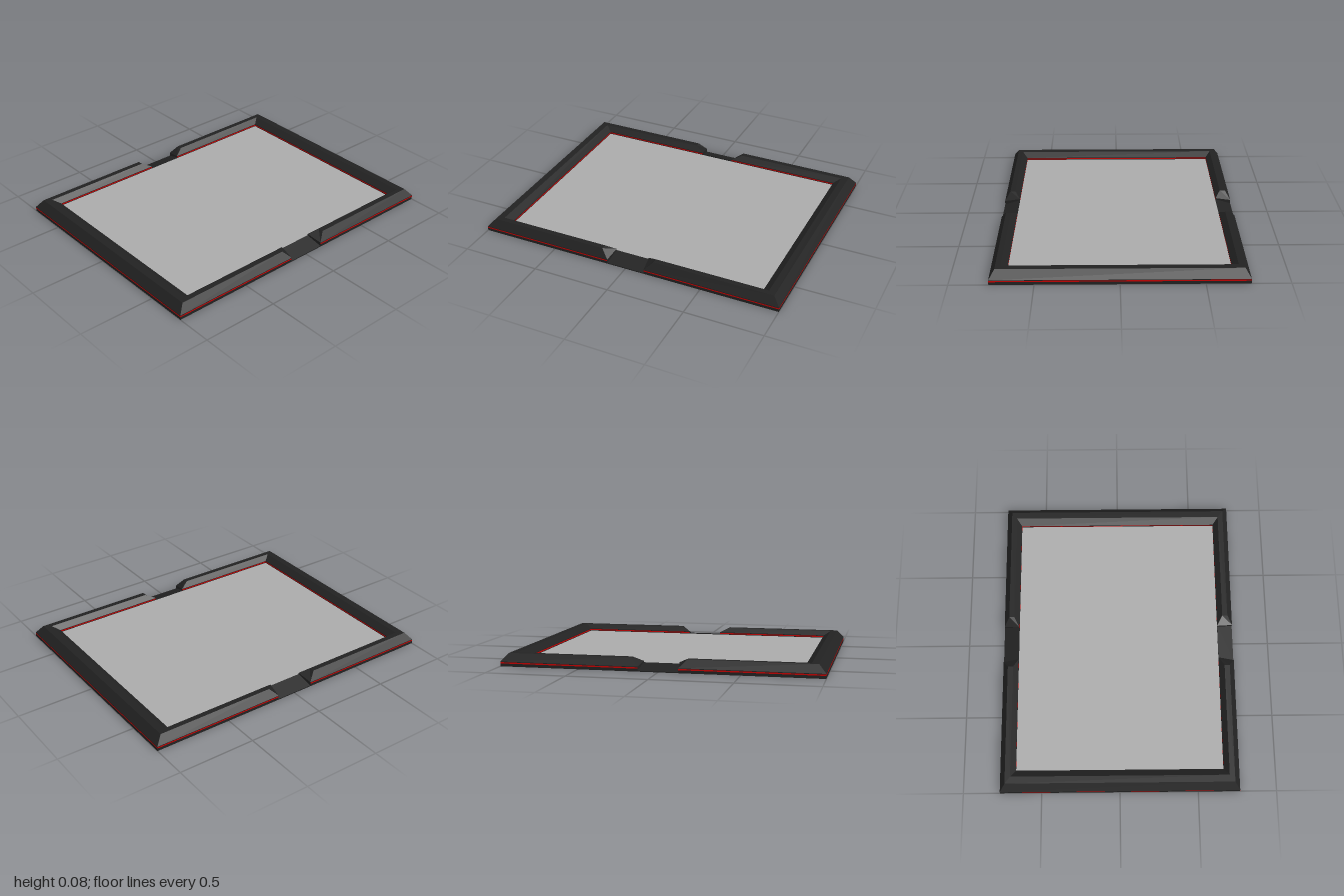
import * as THREE from 'three';

const mat = (color) => new THREE.MeshStandardMaterial({ color, flatShading: true });
const HX = 1, HZ = 0.765;            // outer half sizes
const SX = 0.0447, SZ = 0.034;       // inset per profile step on sides and on front/back
const BASE_Y = 0.034;                // panel height
const GAP = [0.125, 0.175, 0.175, 0.112]; // half width of the gap at each inset step

// One corner of the rim section: inset step k and height y, at stop s along half the frame
function rimPoint(s, [k, y]) {
  const x = s === 0 || s === 3 ? GAP[k] : HX - SX * k;
  const z = (s < 2 ? 1 : -1) * (HZ - SZ * k);
  return [x, y, z];
}

function quads(list) {
  const pos = [];
  for (const [a, b, c, d] of list) pos.push(...a, ...b, ...c, ...a, ...c, ...d);
  const g = new THREE.BufferGeometry();
  g.setAttribute('position', new THREE.Float32BufferAttribute(pos, 3));
  g.computeVertexNormals();
  return g;
}

// Sweep a run of profile points around half the frame
function sweep(profile) {
  const list = [];
  for (let s = 0; s < 3; s++) {
    for (let j = 0; j < profile.length - 1; j++) {
      const p = profile[j], q = profile[j + 1];
      list.push([rimPoint(s, p), rimPoint(s + 1, p), rimPoint(s + 1, q), rimPoint(s, q)]);
    }
  }
  return list;
}

// Bevelled ends of the rim where it meets the gap
function endCaps() {
  const faces = [
    [[0, 0.03], [1, 0.08], [2, 0.08], [3, 0.05]],
    [[0, 0], [0, 0.03], [3, 0.05], [3, 0]],
  ];
  return faces.flatMap((f) => [
    f.map((p) => rimPoint(0, p)),
    f.map((p) => rimPoint(3, p)).reverse(),
  ]);
}

export function createModel() {
  const model = new THREE.Group();
  const black = mat(0x222222), red = mat(0xcc0000), grey = mat(0xaaaaaa);
  const add = (parent, name, geometry, material) => {
    const mesh = new THREE.Mesh(geometry, material);
    mesh.name = name;
    parent.add(mesh);
    return mesh;
  };

  // Rim cross-section, from the outer foot over the top to the inner foot
  const rimGeometry = quads([
    ...sweep([[0, 0], [0, 0.018]]),
    ...sweep([[0, 0.026], [0, 0.03], [1, 0.08], [2, 0.08], [3, 0.05], [3, 0.046]]),
    ...sweep([[3, 0.038], [3, 0]]),
    ...endCaps(),
  ]);
  const outerStripe = quads(sweep([[0, 0.018], [0, 0.026]]));
  const innerStripe = quads(sweep([[3, 0.046], [3, 0.038]]));

  // Low ramp filling each gap, sloping down to the outside
  const ramp = new THREE.Shape([
    new THREE.Vector2(HZ - 3 * SZ, 0),
    new THREE.Vector2(HZ, 0),
    new THREE.Vector2(HZ, 0.006),
    new THREE.Vector2(HZ - 3 * SZ, 0.041),
  ]);
  const rampGeometry = new THREE.ExtrudeGeometry(ramp, { depth: 0.25, bevelEnabled: false });
  rampGeometry.rotateY(-Math.PI / 2).translate(0.125, 0, 0);

  // The two halves are the same, turned half a circle
  ['left', 'right'].forEach((side, i) => {
    const half = new THREE.Group();
    half.name = side + 'Half';
    half.rotation.y = Math.PI * i;
    add(half, side + 'Rim', rimGeometry, black);
    add(half, side + 'OuterStripe', outerStripe, red);
    add(half, side + 'InnerStripe', innerStripe, red);
    add(half, i ? 'backRamp' : 'frontRamp', rampGeometry, black);
    model.add(half);
  });

  // Panel inside the rim
  const panel = new THREE.PlaneGeometry(2 * (HX - 3 * SX), 2 * (HZ - 3 * SZ));
  panel.rotateX(-Math.PI / 2).translate(0, BASE_Y, 0);
  add(model, 'panel', panel, grey);

  // Underside
  const underside = new THREE.PlaneGeometry(2 * HX, 2 * HZ).rotateX(Math.PI / 2);
  add(model, 'underside', underside, black);

  return model;
}
